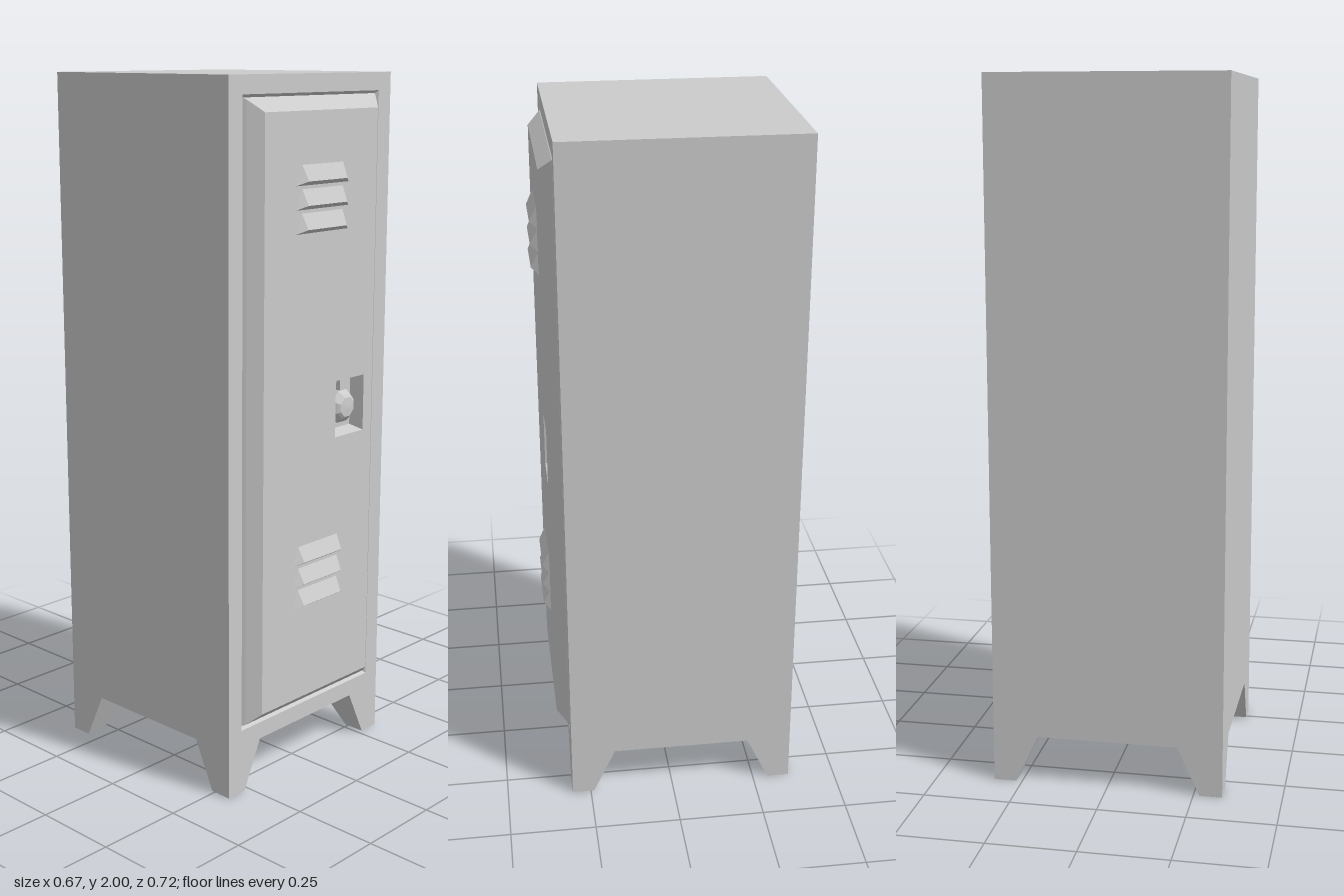
import * as THREE from 'three';
import { ConvexGeometry } from 'three/addons/geometries/ConvexGeometry.js';

const material = new THREE.MeshStandardMaterial({ color: 0xcccccc, flatShading: true });

function part(name, geometry, parent) {
  const mesh = new THREE.Mesh(geometry, material);
  mesh.name = name;
  parent.add(mesh);
  return mesh;
}

// Joins rectangles [x0, x1, y0, y1, z] one after another, with optional end caps.
function rectLoft(rects, capStart, capEnd) {
  const rings = rects.map(([x0, x1, y0, y1, z]) =>
    [[x0, y0, z], [x1, y0, z], [x1, y1, z], [x0, y1, z]]);
  const pos = [];
  const quad = (a, b, c, d) => pos.push(...a, ...b, ...c, ...a, ...c, ...d);
  for (let r = 0; r < rings.length - 1; r++) {
    const a = rings[r], b = rings[r + 1];
    for (let i = 0; i < 4; i++) {
      const j = (i + 1) % 4;
      quad(a[i], a[j], b[j], b[i]);
    }
  }
  if (capStart) quad(...[...rings[0]].reverse());
  if (capEnd) quad(...rings[rings.length - 1]);
  const geo = new THREE.BufferGeometry();
  geo.setAttribute('position', new THREE.Float32BufferAttribute(pos, 3));
  geo.computeVertexNormals();
  return geo;
}

// Square leg, straight on its outer sides and tapered on its inner sides.
function legGeometry(sx, sz) {
  const top = 0.13, foot = 0.065, h = 0.14;
  const geo = new THREE.BoxGeometry(top, h, top);
  const p = geo.attributes.position;
  for (let i = 0; i < p.count; i++) {
    if (p.getY(i) > 0) continue;
    if (p.getX(i) * sx < 0) p.setX(i, sx * (top / 2 - foot));
    if (p.getZ(i) * sz < 0) p.setZ(i, sz * (top / 2 - foot));
  }
  geo.computeVertexNormals();
  return geo;
}

// Wedge-shaped vent hood, y measured from its lower edge.
function louverGeometry() {
  const points = [];
  for (const s of [-1, 1]) {
    points.push(
      new THREE.Vector3(s * 0.11, 0, 0),
      new THREE.Vector3(s * 0.085, 0.055, 0),
      new THREE.Vector3(s * 0.08, 0.012, 0.02));
  }
  return new ConvexGeometry(points);
}

export function createModel() {
  const model = new THREE.Group();
  model.name = 'locker';
  const W = 0.3325, front = 0.305, back = -0.36, doorFront = 0.34;

  // Cabinet, ending in the sloped lip around the door
  part('cabinet', rectLoft([
    [-W, W, 0.14, 2, back],
    [-W, W, 0.14, 2, front],
    [-0.28, 0.28, 0.19, 1.95, front],
    [-0.272, 0.272, 0.198, 1.942, 0.295],
  ], true, false), model);

  // Bevelled door with a sunken lock pocket
  const door = new THREE.Group();
  door.name = 'door';
  model.add(door);
  part('doorPanel', rectLoft([
    [-0.272, 0.272, 0.198, 1.942, 0.295],
    [-0.265, 0.265, 0.203, 1.937, front],
    [-0.233, 0.233, 0.235, 1.905, doorFront],
    [0.07, 0.195, 0.988, 1.152, doorFront],
    [0.08, 0.185, 1.0, 1.14, 0.298],
  ], false, true), door);

  // Two banks of three louvers
  const louver = louverGeometry();
  for (const [bank, y] of [['upper', 1.58], ['lower', 0.513]]) {
    for (let i = 0; i < 3; i++) {
      part(`${bank}Louver${i + 1}`, louver, door).position.set(0, y + i * 0.0645, doorFront);
    }
  }

  // Octagonal lock knob with a small latch above it
  const lock = new THREE.Group();
  lock.name = 'lock';
  lock.position.set(0.1325, 1.065, 0.298);
  door.add(lock);
  const profile = [[0.05, 0], [0.05, 0.015], [0.038, 0.028], [0.03, 0.034], [0, 0.036]]
    .map(([r, y]) => new THREE.Vector2(r, y));
  const knob = new THREE.LatheGeometry(profile, 8, Math.PI / 8);
  knob.rotateX(Math.PI / 2);
  part('lockKnob', knob, lock);
  part('latch', new THREE.BoxGeometry(0.02, 0.035, 0.014), lock).position.set(0, 0.06, 0.007);

  // Four corner legs
  for (const sx of [-1, 1]) {
    for (const sz of [-1, 1]) {
      const name = `${sz > 0 ? 'front' : 'back'}${sx > 0 ? 'Left' : 'Right'}Leg`;
      part(name, legGeometry(sx, sz), model)
        .position.set(sx * (W - 0.065), 0.07, sz > 0 ? front - 0.065 : back + 0.065);
    }
  }
  return model;
}
